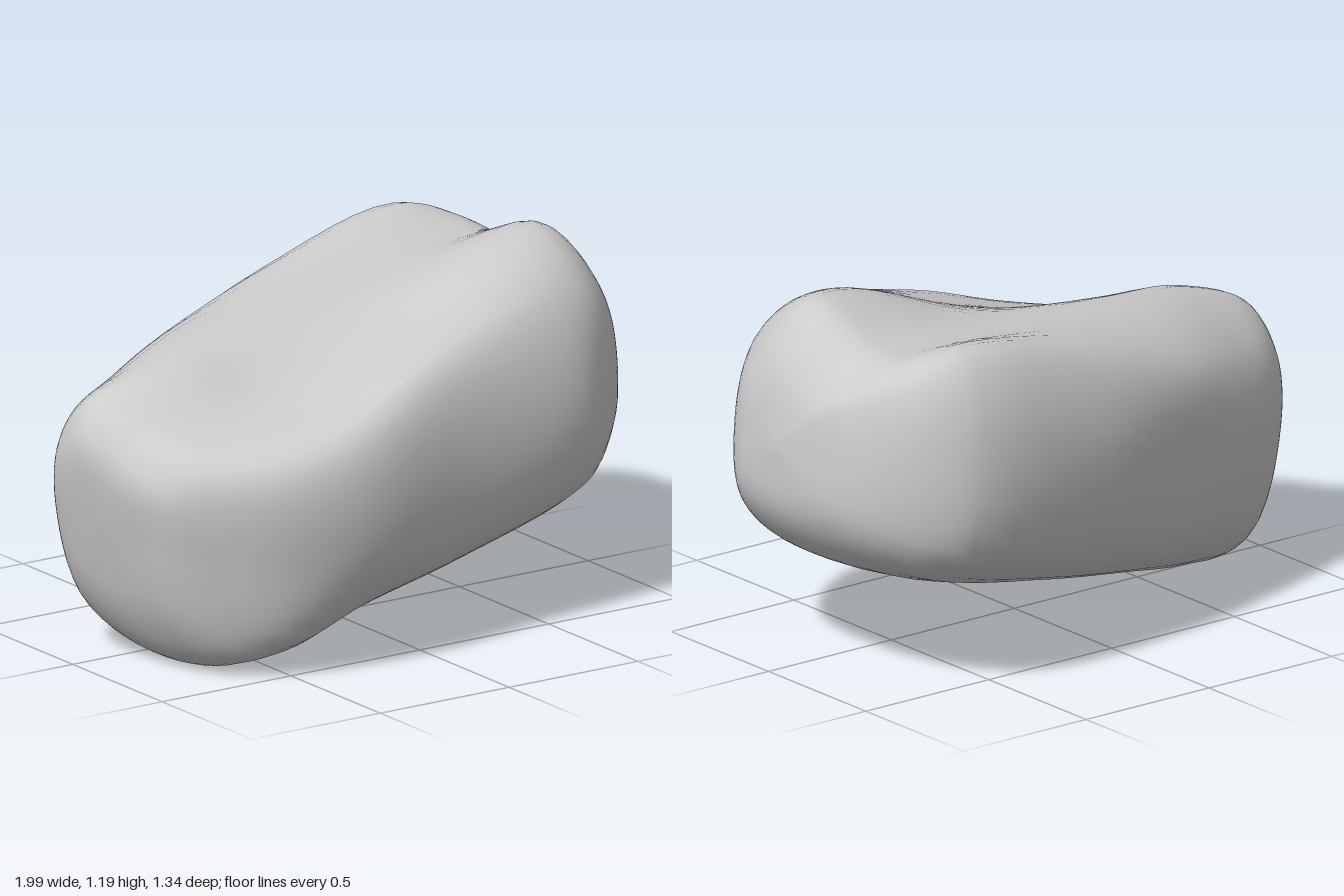
import * as THREE from 'three';
import { mergeVertices } from 'three/addons/utils/BufferGeometryUtils.js';

// Cross-sections along x: x = station, lean = how far the slice tips with height,
// turn = how far it swings with depth,
// ring = [z, y] from front middle, over the top, down the back and under
const sections = [
  { x: -0.82, lean: 0.2, turn: 0.15, ring: [[.46, .4], [.43, .66], [.2, .78], [-.02, .85], [-.18, .72], [-.25, .48], [-.2, .13], [.08, .01], [.4, .07]] },
  { x: -0.6, lean: 0.2, turn: 0.05, ring: [[.59, .38], [.56, .7], [.27, .81], [0, .935], [-.3, .79], [-.39, .55], [-.3, .15], [.08, .03], [.51, .1]] },
  { x: -0.3, lean: 0.2, turn: 0, ring: [[.65, .43], [.61, .78], [.28, .85], [-.08, .985], [-.44, .86], [-.5, .6], [-.42, .22], [.05, .11], [.53, .2]] },
  { x: 0.12, lean: 0.15, turn: 0, ring: [[.59, .58], [.51, .94], [.22, .98], [-.14, 1.03], [-.49, 1.01], [-.625, .73], [-.53, .31], [-.03, .2], [.49, .28]] },
  { x: 0.64, lean: 0.1, turn: 0, ring: [[.5, .68], [.38, 1.03], [.12, 1.17], [-.25, 1.08], [-.52, 1.13], [-.645, .9], [-.6, .44], [-.03, .31], [.42, .4]] },
  { x: 0.83, lean: 0.1, turn: 0, ring: [[.36, .7], [.31, 1.0], [.07, 1.17], [-.24, 1.07], [-.47, 1.06], [-.55, .84], [-.48, .5], [0, .39], [.29, .46]] },
];

// Points of one slice, optionally shrunk towards a centre to close an end
function slice({ x, lean, turn, ring }, newX = x, k = 1, cz = 0, cy = 0) {
  const mid = ring.reduce((sum, p) => sum + p[1], 0) / ring.length;
  return ring.map(([z, y]) => new THREE.Vector3(
    newX + (turn * (z - 0.1) - lean * (y - mid)) * k, cy + (y - cy) * k, cz + (z - cz) * k));
}

function boulderGeometry(lengthSteps = 54, roundSteps = 54) {
  const first = sections[0], last = sections[sections.length - 1];
  const rings = [
    slice(first, -0.95, 0, 0.08, 0.48),
    slice(first, -0.92, 0.68, 0.08, 0.48),
    ...sections.map((s) => slice(s)),
    slice(last, 0.96, 0.6, -0.02, 0.77),
    slice(last, 1.0, 0, -0.02, 0.77),
  ];
  // Smooth lines running the length, then a closed curve round each step
  const lines = first.ring.map((_, j) => new THREE.CatmullRomCurve3(rings.map((r) => r[j])));
  const positions = [], index = [];
  for (let i = 0; i <= lengthSteps; i++) {
    const round = new THREE.CatmullRomCurve3(lines.map((l) => l.getPoint(i / lengthSteps)), true);
    for (let j = 0; j < roundSteps; j++) positions.push(...round.getPoint(j / roundSteps).toArray());
  }
  // Quads between neighbouring rings, single triangles at the two end points
  for (let i = 0; i < lengthSteps; i++) {
    for (let j = 0; j < roundSteps; j++) {
      const a = i * roundSteps + j, c = i * roundSteps + (j + 1) % roundSteps;
      const b = a + roundSteps, d = c + roundSteps;
      if (i > 0) index.push(a, b, c);
      if (i < lengthSteps - 1) index.push(b, d, c);
    }
  }
  const geometry = new THREE.BufferGeometry();
  geometry.setAttribute('position', new THREE.Float32BufferAttribute(positions, 3));
  geometry.setIndex(index);
  const merged = mergeVertices(geometry, 1e-5);
  merged.computeVertexNormals();
  return merged;
}

export function createModel() {
  const group = new THREE.Group();
  group.name = 'rock';
  const boulder = new THREE.Mesh(boulderGeometry(), new THREE.MeshStandardMaterial({ color: 0xcccccc }));
  boulder.name = 'boulder';
  group.add(boulder);
  return group;
}
